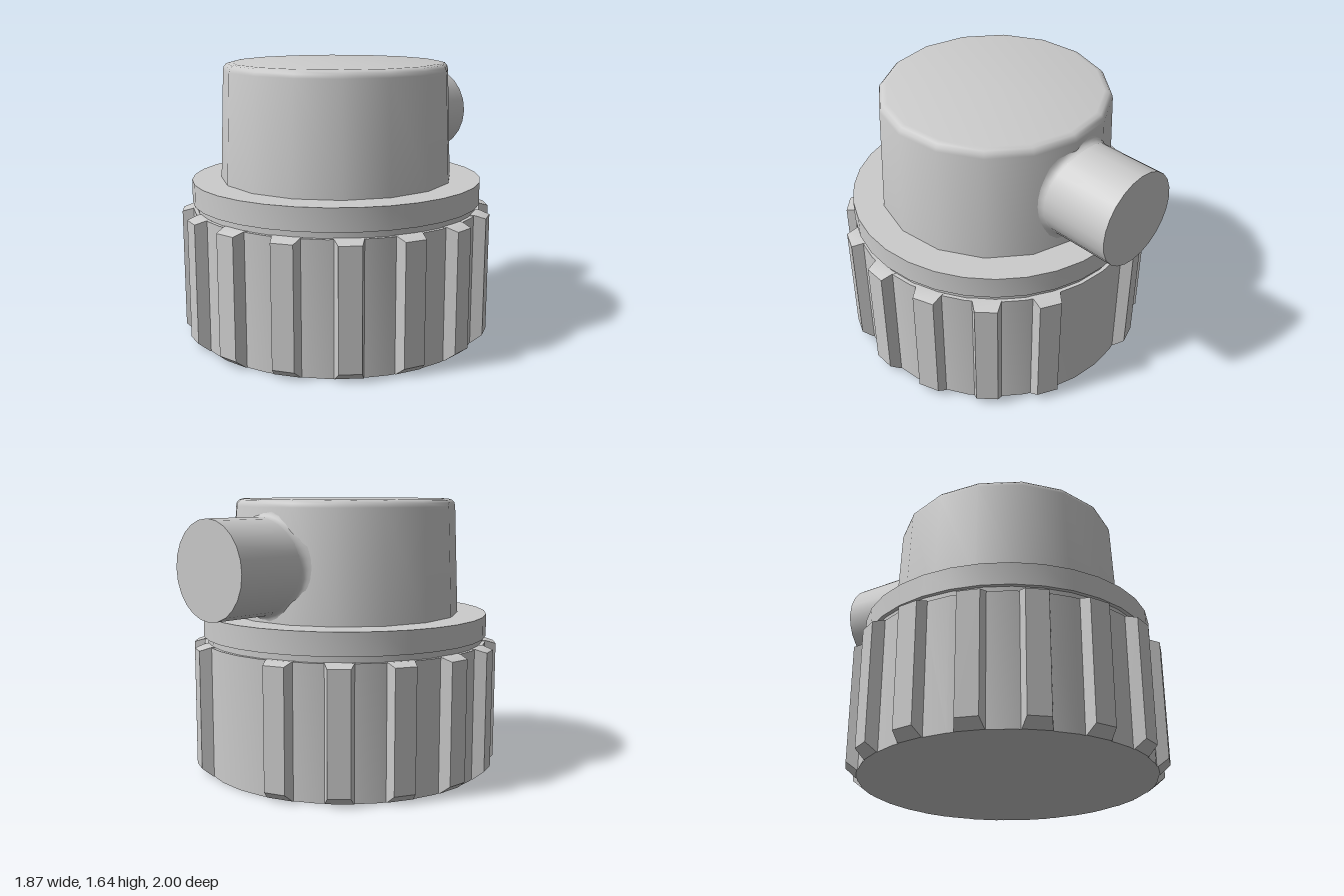
import * as THREE from 'three';
import { toCreasedNormals } from 'three/addons/utils/BufferGeometryUtils.js';

const CENTER_Z = 0.065;
const STEP = Math.PI / 8;
const material = new THREE.MeshStandardMaterial({ color: 0xcccccc, side: THREE.DoubleSide });

function part(name, geometry, crease = 0.6) {
  const mesh = new THREE.Mesh(toCreasedNormals(geometry, crease), material);
  mesh.name = name;
  return mesh;
}

function turned(name, profile, sides, start = 0, crease = 0.6) {
  const points = profile.map(([r, y]) => new THREE.Vector2(r, y));
  return part(name, new THREE.LatheGeometry(points, sides, start), crease);
}

// Grip rib: a tapered bar, bevelled at the bottom and sloped at the top
function ribGeometry() {
  const heights = [0, 0.05, 0.762, 0.782];
  const reach = [0.87, 0.933, 0.933, 0.868];
  const g = new THREE.BoxGeometry(2, 3, 2, 1, 3, 1);
  const p = g.attributes.position;
  for (let i = 0; i < p.count; i++) {
    const level = Math.round(p.getY(i) + 1.5);
    const r = p.getZ(i) > 0 ? reach[level] : 0.82;
    const halfWidth = 0.08 - (r - 0.87) * 0.25;
    p.setXYZ(i, p.getX(i) * halfWidth, heights[level], r);
  }
  return g;
}

// Small fillet that follows the curved housing where the pipe meets it
function filletGeometry(pipeY, pipeR) {
  const g = new THREE.CylinderGeometry(1, 1, 1, 32, 4, true);
  const p = g.attributes.position;
  for (let i = 0; i < p.count; i++) {
    const t = p.getY(i) + 0.5;
    const a = t * Math.PI / 2;
    const angle = Math.atan2(p.getZ(i), p.getX(i));
    const r = pipeR + 0.035 * (1 - Math.sin(a));
    const x = Math.cos(angle) * r;
    const y = pipeY + Math.sin(angle) * r;
    const housingR = 0.695 - (y - 0.95) * 0.038;
    p.setXYZ(i, x, y, -Math.sqrt(housingR ** 2 - x * x) + 0.01 - 0.035 * (1 - Math.cos(a)));
  }
  return g;
}

export function createModel() {
  const model = new THREE.Group();
  model.name = 'ribbedCapWithOutlet';
  const body = new THREE.Group();
  body.name = 'body';
  body.position.z = CENTER_Z;
  model.add(body);

  // Lower cap, neck and flange
  body.add(turned('cap', [[0, 0], [0.87, 0], [0.87, 0.78], [0, 0.78]], 32));
  body.add(turned('neck', [[0.848, 0.77], [0.848, 0.83]], 32));
  body.add(turned('flange', [[0, 0.818], [0.872, 0.818], [0.872, 0.952], [0, 0.952]], 32));

  // Ribs around the cap, with one left out below the pipe
  const ribs = new THREE.Group();
  ribs.name = 'gripRibs';
  const ribShape = ribGeometry();
  for (let i = 0; i < 16; i++) {
    if (i === 8) continue;
    const rib = part('gripRib', ribShape, 0.3);
    rib.rotation.y = i * STEP - 0.058;
    ribs.add(rib);
  }
  body.add(ribs);

  // Tapered housing with a rounded top edge
  body.add(turned('housing', [
    [0.699, 0.945], [0.673, 1.6], [0.667, 1.622], [0.652, 1.638], [0.625, 1.645], [0, 1.645],
  ], 16, -0.087, 0.75));

  // Outlet pipe at the back
  const pipeY = 1.267, pipeR = 0.28;
  const pipe = part('outletPipe', new THREE.CylinderGeometry(pipeR, pipeR, 0.55, 24).rotateX(Math.PI / 2));
  pipe.position.set(0, pipeY, -0.725);
  model.add(pipe);
  body.add(part('pipeFillet', filletGeometry(pipeY, pipeR), 1));

  return model;
}
